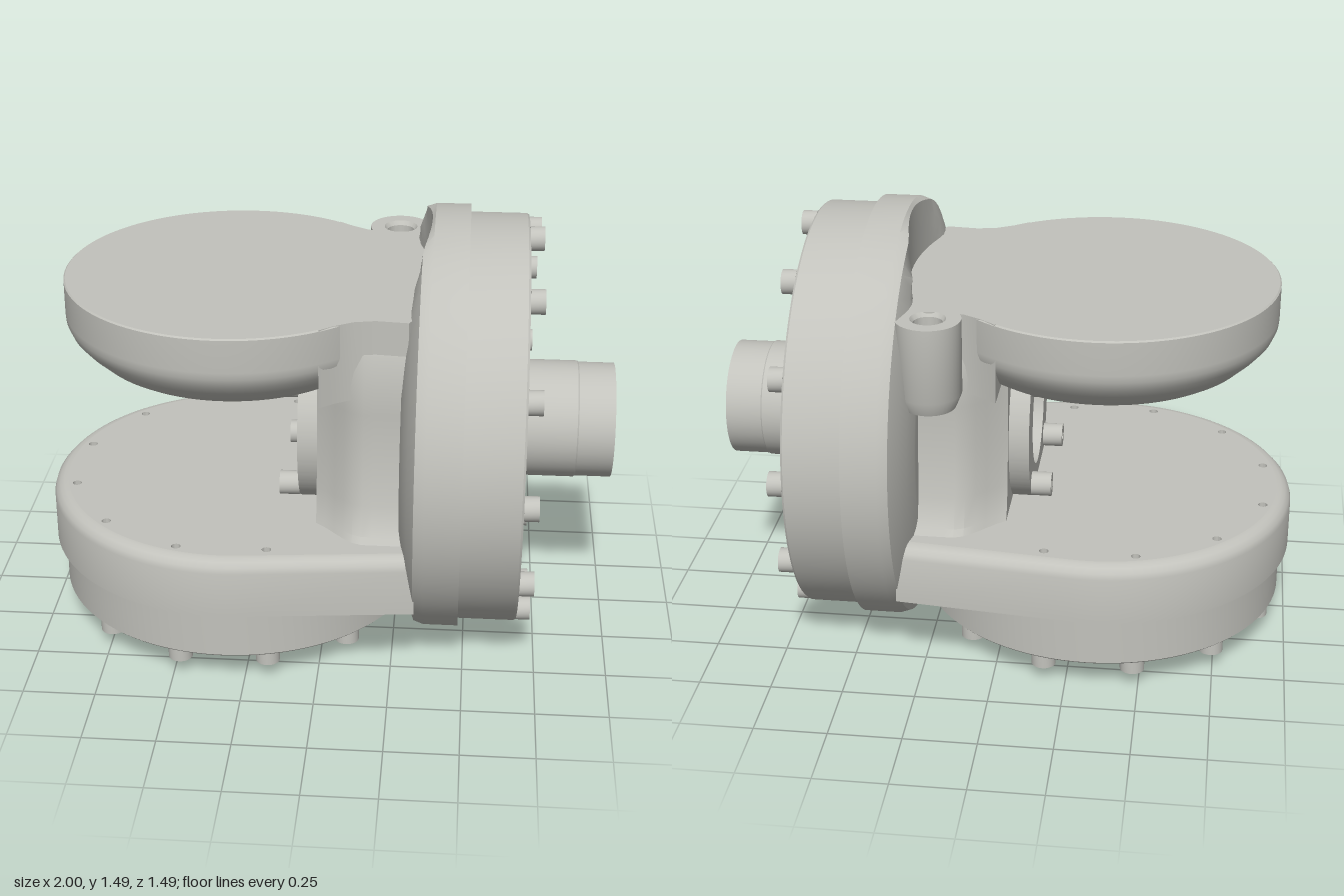
import * as THREE from 'three';
import { toCreasedNormals } from 'three/addons/utils/BufferGeometryUtils.js';

export function createModel() {
  const root = new THREE.Group();
  const metal = new THREE.MeshStandardMaterial({ color: 0xc2c2bc });
  metal.name = 'castMetal';

  const CY = 0.75;     // height of the horizontal bore axis
  const DX = -0.325;   // x of the vertical axis of the fork discs
  const BORE = 0.19;

  const add = (name, geo, parent = root) => {
    const mesh = new THREE.Mesh(toCreasedNormals(geo, 0.5), metal);
    mesh.name = name;
    parent.add(mesh);
    return mesh;
  };
  const lathe = (pts, seg = 96) => new THREE.LatheGeometry(pts.map(p => new THREE.Vector2(...p)), seg);
  // profile of [radius, x] pairs turned about the bore axis
  const latheX = pts => lathe(pts).rotateZ(-Math.PI / 2).translate(0, CY, 0);
  const poly = pts => new THREE.Shape(pts.map(p => new THREE.Vector2(...p)));
  const circle = (x, y, r) => new THREE.Path().absarc(x, y, r, 0, Math.PI * 2, true);
  const extrude = (shape, depth, steps = 1) =>
    new THREE.ExtrudeGeometry(shape, { depth, steps, bevelEnabled: false, curveSegments: 32 });
  // section in the z-y plane swept along x
  const extrudeX = (shape, x0, x1, steps) => extrude(shape, x1 - x0, steps).rotateY(Math.PI / 2).translate(x0, 0, 0);
  // outline in the x-z plane raised from y0 to y1
  const extrudeY = (shape, y0, y1) => extrude(shape, y1 - y0).rotateX(-Math.PI / 2).translate(0, y0, 0);
  // stack of insets of one outline, levels of [height, inset]
  const loft = (outline, levels) => {
    const pos = [], idx = [], n = outline(0).length;
    levels.forEach(([y, inset]) => outline(inset).forEach(([a, b]) => pos.push(a, y, -b)));
    for (let i = 0; i < levels.length - 1; i++) for (let j = 0; j < n; j++) {
      const a = i * n + j, b = i * n + (j + 1) % n;
      idx.push(a, b, b + n, a, b + n, a + n);
    }
    const g = new THREE.BufferGeometry();
    g.setAttribute('position', new THREE.Float32BufferAttribute(pos, 3));
    g.setIndex(idx);
    return g;
  };

  // Socket head screw pointing along +z
  const screwHead = (depth) => {
    const s = new THREE.Shape().absarc(0, 0, 0.042, 0, Math.PI * 2, false);
    const hex = [];
    for (let i = 0; i < 6; i++) hex.push(new THREE.Vector2(0.022 * Math.cos(-i * Math.PI / 3), 0.022 * Math.sin(-i * Math.PI / 3)));
    s.holes.push(new THREE.Path(hex));
    return new THREE.ExtrudeGeometry(s, { depth, bevelEnabled: false, curveSegments: 12 });
  };
  const screw = (name, depth, position, rotation) => {
    const g = new THREE.Group();
    g.name = name;
    add('head', screwHead(depth), g);
    add('socketFloor', new THREE.CircleGeometry(0.03, 8).translate(0, 0, depth * 0.4), g);
    g.position.set(...position);
    g.rotation.set(...rotation);
    root.add(g);
  };

  // Main flange with conical back and a shallow scallop above the upper arm
  const flange = latheX([[BORE, 0.27], [0.5, 0.27], [0.53, 0.27], [0.6, 0.285], [0.67, 0.3], [0.735, 0.325],
    [0.747, 0.36], [0.747, 0.48], [0.7, 0.48]]);
  const fp = flange.attributes.position;
  for (let i = 0; i < fp.count; i++) {
    const z = fp.getZ(i);
    if (fp.getY(i) > 1.2 && Math.abs(z) < 0.36)
      fp.setX(i, Math.max(fp.getX(i), 0.35 - 0.07 * (z / 0.36) ** 2));
  }
  add('mainFlange', flange);
  add('endCover', latheX([[0.72, 0.47], [0.72, 0.675], [0.715, 0.682], [0.2, 0.682]]));
  add('boreTube', latheX([[0.206, 0.67], [0.206, 0.87], [0.202, 0.875], [0.202, 1], [BORE, 1], [BORE, 0.26]]));
  for (let i = 0; i < 12; i++) {
    const a = i * Math.PI / 6;
    screw('endCoverScrew', 0.05, [0.682, CY + 0.675 * Math.cos(a), 0.675 * Math.sin(a)], [0, Math.PI / 2, 0]);
  }

  // Neck joining the two arms, narrowing away from the flange
  const half = [[0.57, 0.45], [0.5, 0.52], [0.465, 0.62], [0.45, 0.8], [0.44, 0.95], [0.45, 1.05], [0.42, 1.16]];
  const neckShape = poly([...half, ...half.map(([z, y]) => [-z, y]).reverse()]);
  neckShape.holes.push(circle(0, CY, BORE));
  const neck = extrudeX(neckShape, -0.02, 0.31, 10);
  const np = neck.attributes.position;
  for (let i = 0; i < np.count; i++) {
    const z = np.getZ(i);
    if (Math.hypot(z, np.getY(i) - CY) > 0.2)
      np.setZ(i, z * (0.7 + 0.3 * THREE.MathUtils.smoothstep(np.getX(i), -0.06, 0.15)));
  }
  add('neck', neck);

  // Inner bore ring: a disc with flat top and bottom
  const cut = Math.asin(0.24 / 0.31);
  const ringShape = new THREE.Shape();
  ringShape.absarc(0, CY, 0.31, -cut, cut, false);
  ringShape.absarc(0, CY, 0.31, Math.PI - cut, Math.PI + cut, false);
  ringShape.holes.push(circle(0, CY, BORE));
  add('innerRing', extrudeX(ringShape, -0.09, -0.015, 1));
  for (const sy of [-1, 1]) for (const sz of [-1, 1])
    screw('innerRingScrew', 0.07, [-0.09, CY + sy * 0.19, sz * 0.2], [0, -Math.PI / 2, 0]);

  // Lower arm: round end with tapering sides and a rounded upper edge
  const armOutline = inset => {
    const pts = [];
    for (let i = 0; i <= 64; i++) {
      const a = THREE.MathUtils.degToRad(85 + i * 190 / 64);
      pts.push([DX + (0.675 - inset) * Math.cos(a), (0.675 - inset) * Math.sin(a)]);
    }
    pts.push([0.33, inset - 0.61], [0.33, 0.61 - inset]);
    return pts;
  };
  add('lowerArm', loft(armOutline, [[0.29, 0], [0.455, 0], [0.475, 0.006], [0.49, 0.02], [0.498, 0.035], [0.5, 0.05]]));
  const armBase = poly(armOutline(0));
  add('lowerArmUnderside', new THREE.ShapeGeometry(armBase).rotateX(Math.PI / 2).translate(0, 0.29, 0));
  add('lowerArmHoleFloor', new THREE.ShapeGeometry(poly(armOutline(0.05))).rotateX(-Math.PI / 2).translate(0, 0.47, 0));
  const face = poly(armOutline(0.05));
  for (let i = 2; i < 10; i++) {
    const a = (15 + 30 * i) * Math.PI / 180;
    face.holes.push(circle(DX + 0.595 * Math.cos(a), 0.595 * Math.sin(a), 0.016));
  }
  add('lowerArmFace', extrudeY(face, 0.475, 0.5));

  // Rounded gusset under the lower arm, following the flange
  const g0 = Math.asin(0.4 / 0.695);
  add('lowerGusset', extrudeX(new THREE.Shape().absarc(0, CY, 0.695, Math.PI + g0, 2 * Math.PI - g0, false), 0, 0.32, 1));

  // Bottom cover with a shallow recess and its screws
  add('bottomCover', lathe([[0, 0.12], [0.52, 0.12], [0.52, 0.11], [0.638, 0.11], [0.645, 0.117], [0.645, 0.3]]).translate(DX, 0, 0));
  for (let i = 0; i < 12; i++) {
    const a = (15 + 30 * i) * Math.PI / 180;
    screw('bottomCoverScrew', 0.05, [DX + 0.59 * Math.cos(a), 0.11, 0.59 * Math.sin(a)], [Math.PI / 2, 0, 0]);
  }

  // Upper arm: disc with a rounded lower edge and a web into the flange
  add('upperDisc', lathe([[0, 1], [0.47, 1], [0.5, 1.018], [0.55, 1.065], [0.58, 1.1], [0.595, 1.135], [0.597, 1.16],
    [0.597, 1.275], [0.592, 1.28], [0, 1.28]]).translate(DX, 0, 0));
  const side = [[0, 0.5], [0.05, 0.46], [0.11, 0.425], [0.18, 0.41], [0.29, 0.42], [0.35, 0.3], [0.36, 0.1]];
  add('upperWeb', extrudeY(poly([...side.map(([x, z]) => [x, -z]), ...side.slice().reverse()]), 1.0, 1.28));

  // Vertical boss with a drilled hole at the back of the upper arm
  add('cornerBoss', lathe([[0, 0.95], [0.09, 0.97], [0.11, 1.02], [0.11, 1.28], [0.06, 1.28], [0.05, 1.265], [0.05, 1.1], [0, 1.1]], 40)
    .translate(0.225, 0, -0.47));
  return root;
}
